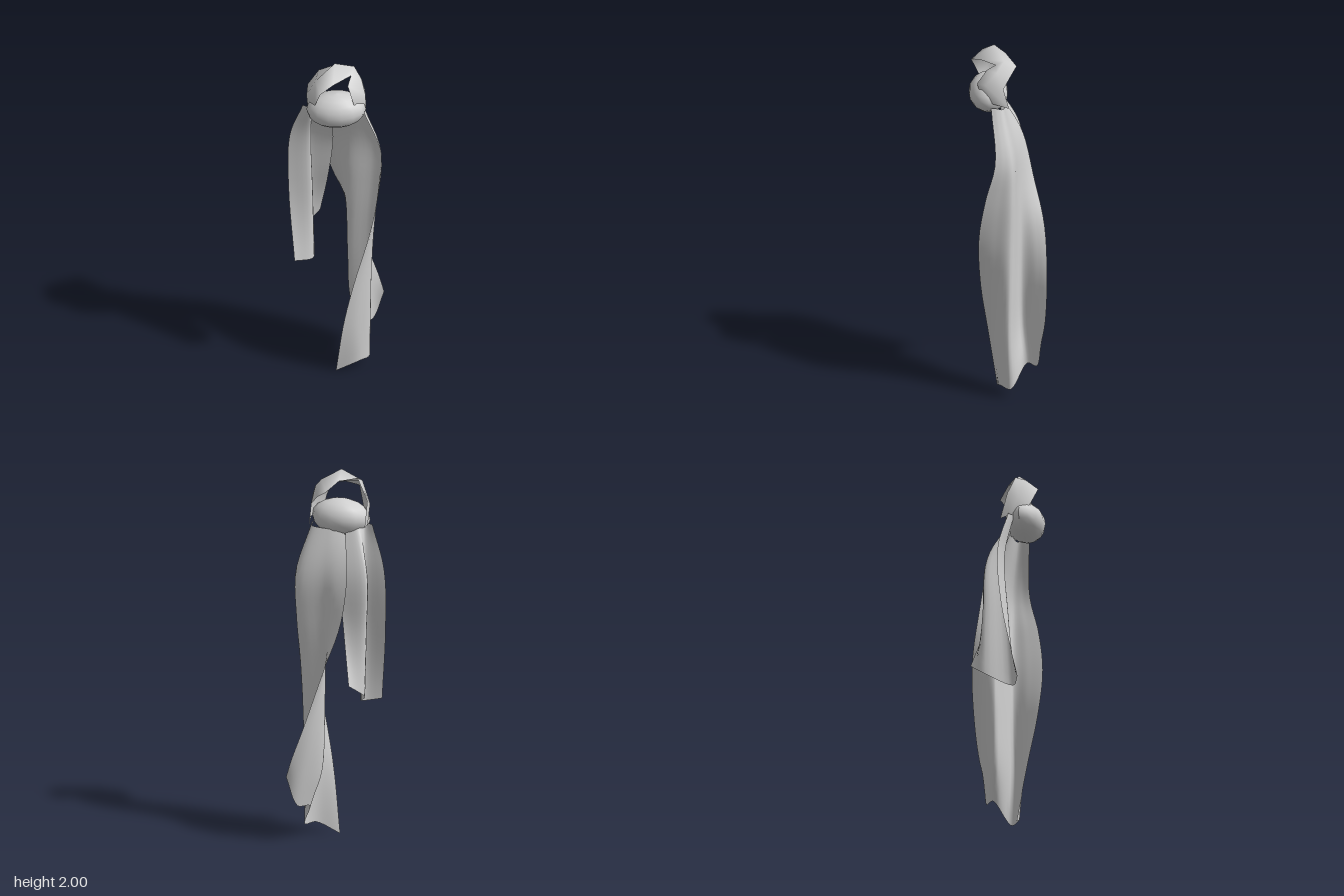
import * as THREE from 'three';

const V = (p) => new THREE.Vector3(...p);

// Smooth cloth sheet: each row lists points across the cloth, rows run down its length
function sheet(rows, across, along, material) {
  const wide = rows.map((r) => new THREE.CatmullRomCurve3(r.map(V), false, 'centripetal'));
  const columns = [];
  for (let i = 0; i <= across; i++) {
    const t = i / across;
    columns.push(new THREE.CatmullRomCurve3(wide.map((c) => c.getPoint(t)), false, 'centripetal'));
  }
  const grid = [];
  for (let j = 0; j <= along; j++) grid.push(columns.map((c) => c.getPoint(j / along)));
  return strip(grid, material);
}

// Joins a grid of points into a surface
function strip(grid, material) {
  const n = grid[0].length, index = [];
  for (let j = 0; j < grid.length - 1; j++)
    for (let i = 0; i < n - 1; i++) {
      const a = j * n + i, b = a + n;
      index.push(a, b, a + 1, a + 1, b, b + 1);
    }
  const g = new THREE.BufferGeometry().setFromPoints(grid.flat());
  g.setIndex(index);
  g.computeVertexNormals();
  return new THREE.Mesh(g, material);
}

export function createModel() {
  const group = new THREE.Group();
  const cloth = new THREE.MeshStandardMaterial({ color: 0xd0d0d0, side: THREE.DoubleSide });
  cloth.name = 'grey cloth';
  const add = (mesh, name) => { mesh.name = name; group.add(mesh); return mesh; };

  // Knot: a slightly tilted, flattened ball
  const knotShape = new THREE.SphereGeometry(1, 14, 10);
  knotShape.scale(0.157, 0.099, 0.104);
  const p = knotShape.attributes.position;
  for (let i = 0; i < p.count; i++) p.setY(i, p.getY(i) + p.getX(i) * 0.04);
  knotShape.computeVertexNormals();
  add(new THREE.Mesh(knotShape, cloth), 'knot').position.set(0.009, 1.729, 0.101);

  // Loop: a bent band, each section running from its back edge over a ridge to its front edge
  add(strip([
    [[-0.138, 1.70, 0.0], [-0.145, 1.71, 0.05], [-0.12, 1.72, 0.09]],
    [[-0.145, 1.84, 0.04], [-0.148, 1.81, 0.10], [-0.10, 1.78, 0.15]],
    [[-0.085, 1.955, 0.07], [-0.10, 1.925, 0.13], [-0.07, 1.88, 0.19]],
    [[0.0, 1.95, 0.01], [0.0, 2.0, 0.07], [-0.005, 1.91, 0.145]],
    [[0.06, 1.90, -0.047], [0.10, 1.95, 0.02], [0.085, 1.92, 0.065]],
    [[0.115, 1.86, -0.01], [0.14, 1.90, 0.06], [0.07, 1.885, 0.11]],
    [[0.155, 1.81, 0.025], [0.165, 1.84, 0.12], [0.10, 1.82, 0.163]],
    [[0.16, 1.70, -0.005], [0.165, 1.73, 0.08], [0.12, 1.72, 0.13]],
  ].map((r) => r.map(V)), cloth), 'loop');

  // Long tail: a folded sheet, from its front edge through two folds to its back edge
  add(sheet([
    [[0.155, 1.70, 0.09], [0.158, 1.70, 0.06], [0.15, 1.69, 0.03], [0.06, 1.68, 0.02], [0.015, 1.67, 0.02], [-0.03, 1.66, 0.02]],
    [[0.245, 1.42, 0.07], [0.24, 1.42, 0.025], [0.22, 1.42, -0.018], [0.08, 1.44, -0.045], [0.01, 1.45, -0.065], [-0.062, 1.46, -0.08]],
    [[0.233, 1.20, 0.12], [0.23, 1.20, 0.05], [0.22, 1.20, -0.02], [0.07, 1.20, -0.06], [0.01, 1.20, -0.105], [-0.038, 1.20, -0.14]],
    [[0.185, 0.95, 0.155], [0.198, 0.95, 0.07], [0.202, 0.95, -0.015], [0.06, 0.95, -0.07], [0.05, 0.95, -0.135], [0.045, 0.95, -0.195]],
    [[0.11, 0.65, 0.145], [0.155, 0.65, 0.07], [0.19, 0.65, -0.01], [0.06, 0.65, -0.07], [0.10, 0.65, -0.15], [0.145, 0.65, -0.205]],
    [[0.05, 0.35, 0.105], [0.125, 0.35, 0.06], [0.185, 0.35, -0.005], [0.075, 0.37, -0.075], [0.15, 0.38, -0.15], [0.215, 0.46, -0.193]],
    [[0.005, 0.0, 0.055], [0.13, 0.06, 0.04], [0.18, 0.06, -0.015], [0.135, 0.19, -0.10], [0.19, 0.20, -0.15], [0.247, 0.36, -0.172]],
  ], 30, 28, cloth), 'longTail');

  // Short tail: a second folded sheet, from its outer edge to its inner back edge
  add(sheet([
    [[-0.17, 1.71, 0.05], [-0.125, 1.71, 0.07], [-0.09, 1.69, 0.04], [-0.03, 1.66, 0.03]],
    [[-0.242, 1.48, 0.01], [-0.13, 1.48, 0.02], [-0.165, 1.46, -0.065], [-0.015, 1.44, -0.05]],
    [[-0.246, 1.15, 0.03], [-0.12, 1.15, 0.035], [-0.165, 1.15, -0.085], [-0.043, 1.17, -0.085]],
    [[-0.21, 0.74, 0.11], [-0.11, 0.735, 0.06], [-0.16, 0.81, -0.10], [-0.09, 0.88, -0.172]],
  ], 18, 18, cloth), 'shortTail');

  return group;
}
